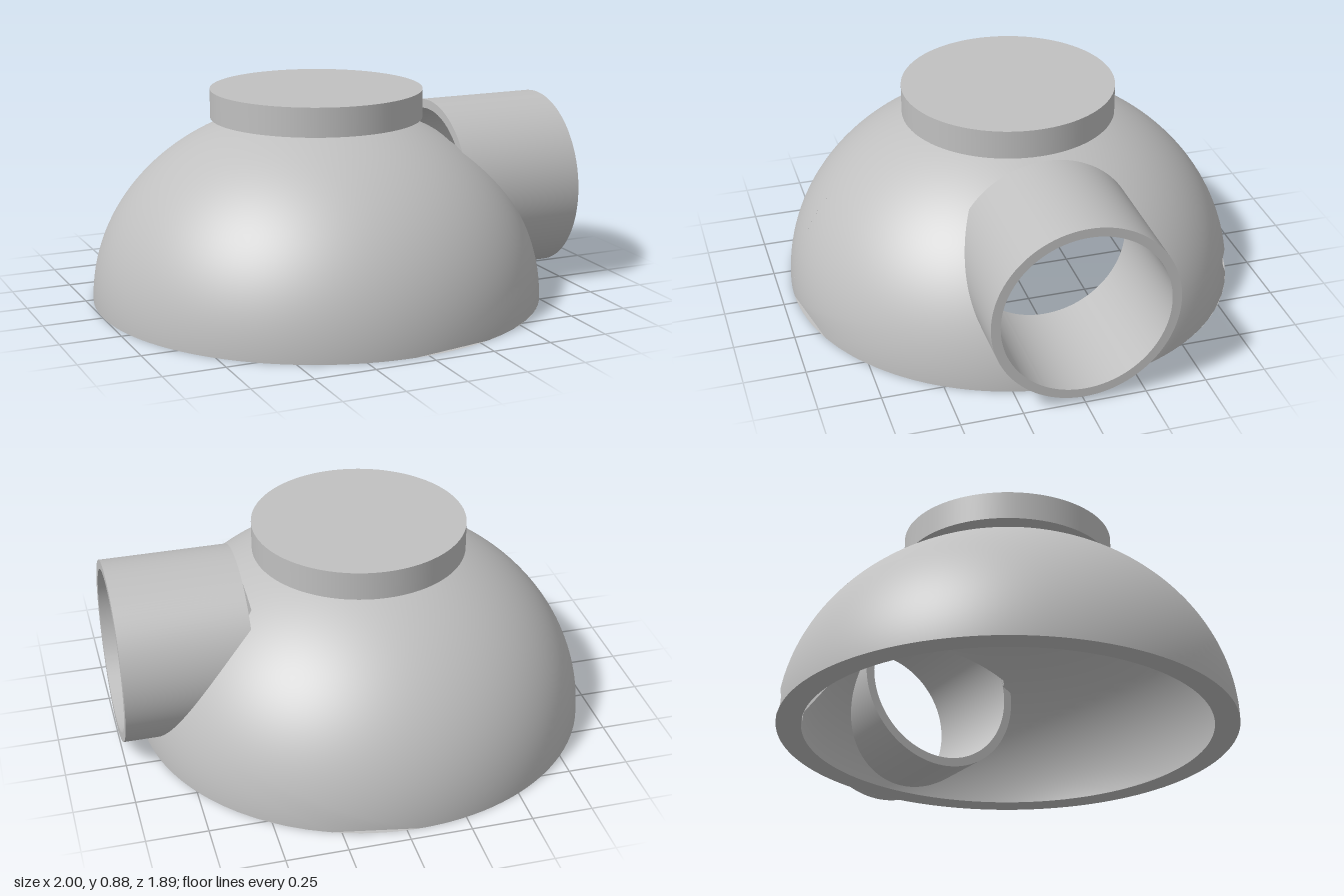
import * as THREE from 'three';
import { toCreasedNormals } from 'three/addons/utils/BufferGeometryUtils.js';

const CX = -0.055;                       // dome axis
const OUTER = { a: 0.945, b: 0.81 };     // radius and height of the shell surfaces
const INNER = { a: 0.843, b: 0.707 };
const PIPE = { y: 0.406, r: 0.378, bore: 0.34, x0: 0.47, x1: 1 };
const CUT = { r: 0.341, x: 0.45 };       // port cut through the shell

// Directions around the port, including those that meet the rim corners
const angles = [];
for (let i = 0; i < 160; i++) angles.push((i / 160) * Math.PI * 2 - Math.PI);
for (const { a } of [OUTER, INNER]) for (const s of [-1, 1]) angles.push(Math.atan2(-PIPE.y, s * a));
angles.sort((p, q) => p - q);
angles.push(angles[0]);

// Distance from the port centre to the ellipse z²/a² + y²/b² = k
function reach({ a, b }, k, c, s) {
  const A = (s * s) / (b * b) + (c * c) / (a * a);
  const B = (PIPE.y * s) / (b * b);
  const C = (PIPE.y * PIPE.y) / (b * b) - k;
  return (-B + Math.sqrt(B * B - A * C)) / A;
}

// Point of the shell on the unit sphere, given a direction and distance from the port centre
function unitPoint({ a, b }, c, s, t) {
  const y = (PIPE.y + t * s) / b, z = (-t * c) / a;
  return new THREE.Vector3(Math.sqrt(Math.max(0, 1 - y * y - z * z)), y, z);
}

// Edge of the port on one shell surface
function portEdge(e) {
  const k = 1 - ((CUT.x - CX) / e.a) ** 2;
  return angles.map((t) => {
    const c = Math.cos(t), s = Math.sin(t);
    return unitPoint(e, c, s, Math.min(CUT.r, reach(e, k, c, s)));
  });
}

// Outer limit of the ported half: the rim and the middle meridian
function halfEdge(e) {
  return angles.map((t) => {
    const c = Math.cos(t), s = Math.sin(t);
    const full = reach(e, 1, c, s);
    return unitPoint(e, c, s, s < 0 ? Math.min(full, -PIPE.y / s) : full);
  });
}

// Join equal loops of points into a surface
function loft(rows, normals) {
  const n = rows[0].length, index = [];
  for (let r = 0; r < rows.length - 1; r++) {
    for (let i = 0; i < n - 1; i++) {
      const a = r * n + i, b = a + n;
      index.push(a, b, b + 1, a, b + 1, a + 1);
    }
  }
  const g = new THREE.BufferGeometry().setFromPoints(rows.flat());
  g.setIndex(index);
  if (normals) {
    const flat = normals.flat().flatMap((v) => v.toArray());
    g.setAttribute('normal', new THREE.Float32BufferAttribute(flat, 3));
  }
  return g;
}

// Half of a shell surface with the port in it
function portedHalf(e) {
  const P = portEdge(e), Q = halfEdge(e), rows = [], normals = [];
  for (let r = 0; r <= 24; r++) {
    const units = P.map((p, i) => p.clone().lerp(Q[i], r / 24).normalize());
    rows.push(units.map((u) => place(e, u)));
    normals.push(units.map((u) => new THREE.Vector3(u.x / e.a, u.y / e.b, u.z / e.a).normalize()));
  }
  return loft(rows, normals);
}

function place(e, u) {
  return new THREE.Vector3(CX + u.x * e.a, u.y * e.b, u.z * e.a);
}

// Plain half of a shell surface
function plainHalf(e) {
  return new THREE.SphereGeometry(1, 64, 40, -Math.PI / 2, Math.PI, 0, Math.PI / 2)
    .scale(e.a, e.b, e.a).translate(CX, 0, 0);
}

export function createModel() {
  const model = new THREE.Group();
  model.name = 'domedHousing';
  const grey = new THREE.MeshStandardMaterial({ color: 0xc0c0c0, side: THREE.DoubleSide });
  grey.name = 'grey';
  const add = (name, geometry) => {
    const mesh = new THREE.Mesh(geometry, grey);
    mesh.name = name;
    model.add(mesh);
  };

  // Hollow dome
  for (const [side, e] of [['Outer', OUTER], ['Inner', INNER]]) {
    add('dome' + side + 'Plain', plainHalf(e));
    add('dome' + side + 'Ported', portedHalf(e));
  }
  add('domeRim', new THREE.RingGeometry(INNER.a, OUTER.a, 128).rotateX(Math.PI / 2).translate(CX, 0, 0));

  // Thickness of the shell shown around the port
  const outside = portEdge(OUTER).map((u) => place(OUTER, u));
  const inside = portEdge(INNER).map((u) => place(INNER, u));
  const corner = inside.map((p, i) => new THREE.Vector3(p.x, outside[i].y, outside[i].z));
  add('portWall', toCreasedNormals(loft([inside, corner, outside]), 0.5));

  // Round cap on top
  add('topCap', new THREE.CylinderGeometry(0.442, 0.442, 0.12, 96).translate(CX, 0.82, 0));

  // Side pipe
  const ring = new THREE.Shape().absarc(0, 0, PIPE.r, 0, Math.PI * 2);
  ring.holes.push(new THREE.Path().absarc(0, 0, PIPE.bore, 0, Math.PI * 2, true));
  const pipe = new THREE.ExtrudeGeometry(ring, {
    depth: PIPE.x1 - PIPE.x0, bevelEnabled: false, curveSegments: 96,
  });
  pipe.rotateY(Math.PI / 2).translate(PIPE.x0, PIPE.y, 0);
  add('sidePipe', toCreasedNormals(pipe, 0.5));

  return model;
}
